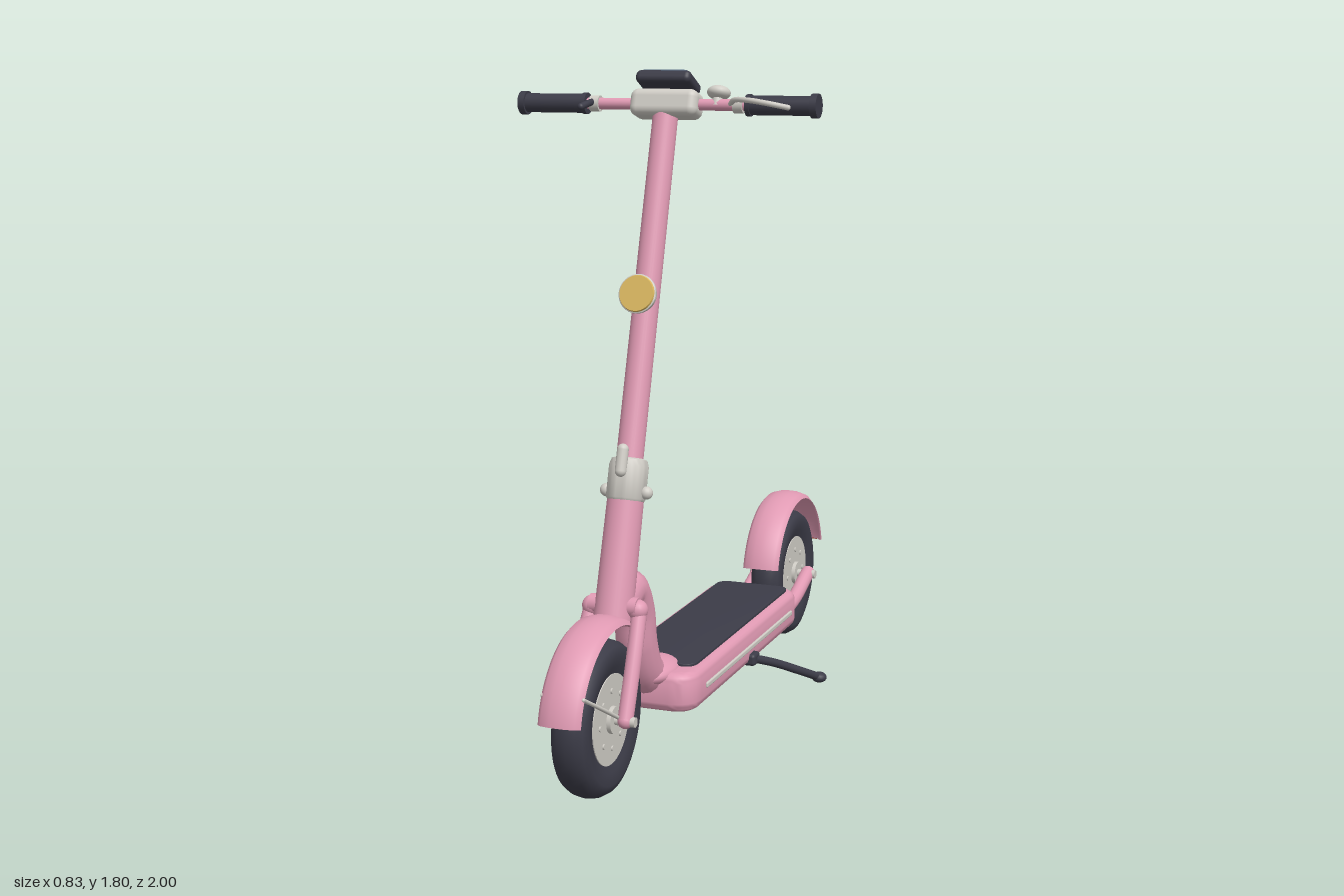
import * as THREE from 'three';
import { toCreasedNormals } from 'three/addons/utils/BufferGeometryUtils.js';
import { RoundedBoxGeometry } from 'three/addons/geometries/RoundedBoxGeometry.js';

const mat = (name, color, side = THREE.FrontSide) => {
  const m = new THREE.MeshStandardMaterial({ color, side });
  m.name = name;
  return m;
};
const V = (x, y, z) => new THREE.Vector3(x, y, z);

export function createModel() {
  const pink = mat('pink paint', 0xe09ab3, THREE.DoubleSide);
  const dark = mat('dark rubber', 0x3c3c48);
  const grey = mat('light grey metal', 0xd0cdc6);
  const gold = mat('gold lens', 0xddba62);
  const red = mat('red lens', 0xe0604c);
  const blue = mat('blue screen', 0x4a627c);

  const root = new THREE.Group();
  root.name = 'kickScooter';

  const add = (parent, name, geo, m, x = 0, y = 0, z = 0) => {
    const mesh = new THREE.Mesh(geo, m);
    mesh.name = name;
    mesh.position.set(x, y, z);
    parent.add(mesh);
    return mesh;
  };
  const group = (parent, name, x = 0, y = 0, z = 0) => {
    const g = new THREE.Group();
    g.name = name;
    g.position.set(x, y, z);
    parent.add(g);
    return g;
  };
  const ball = (parent, name, r, m, x, y, z) =>
    add(parent, name, new THREE.SphereGeometry(r, 20, 14), m, x, y, z);
  // cylinder lying along x
  const barX = (r, len, seg = 28) => new THREE.CylinderGeometry(r, r, len, seg).rotateZ(Math.PI / 2);
  // round-ended tube through points
  const tube = (parent, name, pts, r, m) => {
    const curve = new THREE.CatmullRomCurve3(pts);
    const g = group(parent, name);
    add(g, name + 'Tube', new THREE.TubeGeometry(curve, 32, r, 16), m);
    for (const p of [pts[0], pts[pts.length - 1]]) ball(g, name + 'End', r, m, p.x, p.y, p.z);
    return g;
  };
  // rounded plate in the xz plane, from y = 0 up to height
  const plate = (w, len, corner, height, bevel) => {
    const a = w / 2 - bevel, b = len / 2 - bevel, c = corner, s = new THREE.Shape();
    s.moveTo(-a + c, -b);
    s.lineTo(a - c, -b); s.quadraticCurveTo(a, -b, a, -b + c);
    s.lineTo(a, b - c); s.quadraticCurveTo(a, b, a - c, b);
    s.lineTo(-a + c, b); s.quadraticCurveTo(-a, b, -a, b - c);
    s.lineTo(-a, -b + c); s.quadraticCurveTo(-a, -b, -a + c, -b);
    const g = new THREE.ExtrudeGeometry(s, {
      depth: height - 2 * bevel, bevelSize: bevel, bevelThickness: bevel, bevelSegments: 5, curveSegments: 8,
    });
    return toCreasedNormals(g.translate(0, 0, bevel).rotateX(-Math.PI / 2), 0.7);
  };

  // wheels
  const AXLE = 0.204;
  const tyreProfile = [[0.11, -0.034], [0.135, -0.044], [0.165, -0.05], [0.185, -0.042], [0.196, -0.024], [0.2, 0],
    [0.196, 0.024], [0.185, 0.042], [0.165, 0.05], [0.135, 0.044], [0.11, 0.034]].map(p => new THREE.Vector2(...p));
  const wheel = (name, z) => {
    const g = group(root, name, 0, AXLE, z);
    add(g, 'tyre', new THREE.LatheGeometry(tyreProfile, 56).rotateZ(Math.PI / 2), dark);
    add(g, 'rimDisc', barX(0.116, 0.078, 48), grey);
    add(g, 'hub', barX(0.035, 0.1), grey);
    add(g, 'axle', barX(0.012, 0.19, 16), grey);
    for (let i = 0; i < 8; i++) {
      const a = i * Math.PI / 4;
      add(g, 'rimBolt', barX(0.007, 0.086, 10), grey, 0, 0.075 * Math.sin(a), 0.075 * Math.cos(a));
    }
  };
  wheel('frontWheel', 0.75);
  wheel('rearWheel', -0.735);

  // crowned mudguards, swept around the axle
  const guardProfile = [[0.232, -0.057], [0.245, -0.045], [0.252, -0.02], [0.253, 0], [0.252, 0.02], [0.245, 0.045],
    [0.232, 0.057], [0.228, 0.052], [0.238, 0.04], [0.245, 0], [0.238, -0.04], [0.228, -0.052], [0.232, -0.057]]
    .map(p => new THREE.Vector2(...p));
  const guard = (name, z, from, to) => {
    const d = Math.PI / 180;
    const geo = new THREE.LatheGeometry(guardProfile, 40, from * d, (to - from) * d).rotateZ(Math.PI / 2);
    add(root, name, geo, pink, 0, 0.21, z);
  };
  guard('frontMudguard', 0.75, 11, 124);
  guard('rearMudguard', -0.738, 14, 168);
  const tail = add(root, 'tailLight', new RoundedBoxGeometry(0.08, 0.026, 0.018, 3, 0.007), red, 0, 0.267, -0.987);
  tail.rotation.x = 0.2;

  // deck, mat and side strips
  add(root, 'deck', plate(0.276, 0.93, 0.045, 0.107, 0.026), pink, 0, 0.123, -0.02);
  add(root, 'deckMat', plate(0.222, 0.82, 0.035, 0.01, 0.002), dark, 0, 0.227, -0.045);
  for (const s of [-1, 1]) {
    add(root, 'sideStrip', new RoundedBoxGeometry(0.009, 0.015, 0.73, 2, 0.004), grey, s * 0.139, 0.177, -0.025);
    // rear stays
    tube(root, 'rearStay', [V(s * 0.08, 0.15, -0.44), V(s * 0.08, 0.148, -0.53), V(s * 0.08, 0.16, -0.61),
      V(s * 0.08, 0.198, -0.72), V(s * 0.08, 0.205, -0.742)], 0.022, pink);
    add(root, 'rearAxleCap', barX(0.013, 0.012, 16), grey, s * 0.102, AXLE, -0.735);
    // front fork legs and mudguard stays
    tube(root, 'forkLeg', [V(s * 0.066, 0.455, 0.63), V(s * 0.072, 0.36, 0.678), V(s * 0.076, 0.205, 0.75)], 0.02, pink);
    ball(root, 'forkShoulder', 0.027, pink, s * 0.062, 0.458, 0.632);
    add(root, 'frontAxleCap', barX(0.013, 0.012, 16), grey, s * 0.098, AXLE, 0.75);
    tube(root, 'mudguardStay', [V(s * 0.06, 0.21, 0.75), V(s * 0.058, 0.265, 0.85), V(s * 0.054, 0.322, 0.955)], 0.005, grey);
  }

  // curved neck from the steering head down to the deck
  tube(root, 'neck', [V(0, 0.47, 0.61), V(0, 0.485, 0.55), V(0, 0.42, 0.507), V(0, 0.32, 0.487), V(0, 0.235, 0.44),
    V(0, 0.187, 0.36)], 0.054, pink);
  add(root, 'neckFoot', new THREE.SphereGeometry(1, 24, 16).scale(0.075, 0.035, 0.1), pink, 0, 0.222, 0.39);

  // kickstand on the left
  const stand = group(root, 'kickstand');
  add(stand, 'standPivot', new RoundedBoxGeometry(0.04, 0.035, 0.05, 2, 0.01), dark, 0.135, 0.14, -0.035);
  tube(stand, 'standLeg', [V(0.14, 0.142, -0.03), V(0.185, 0.112, -0.1), V(0.235, 0.07, -0.18), V(0.27, 0.034, -0.25)], 0.012, dark);
  add(stand, 'standFoot', new THREE.SphereGeometry(0.022, 18, 12).scale(1, 0.7, 1), dark, 0.272, 0.032, -0.253);

  // steering column, tilted back
  const col = group(root, 'steeringColumn', 0, 0.465, 0.635);
  col.rotation.x = -0.289;
  add(col, 'forkCrown', barX(0.025, 0.13), pink);
  add(col, 'lowerTube', new THREE.CylinderGeometry(0.047, 0.05, 0.31, 32), pink, 0, 0.12, 0);
  add(col, 'upperTube', new THREE.CylinderGeometry(0.033, 0.035, 0.95, 32), pink, 0, 0.815, 0);
  const collarProfile = [[0, 0.265], [0.046, 0.265], [0.051, 0.272], [0.051, 0.355], [0.046, 0.372], [0.034, 0.376]]
    .map(p => new THREE.Vector2(...p));
  add(col, 'foldingCollar', toCreasedNormals(new THREE.LatheGeometry(collarProfile, 36), 0.7), grey);
  add(col, 'foldingPin', barX(0.014, 0.12, 18), grey, 0, 0.29, 0);
  for (const s of [-1, 1]) ball(col, 'pinKnob', 0.017, grey, s * 0.055, 0.29, 0);
  add(col, 'foldingLatch', new THREE.CapsuleGeometry(0.015, 0.055, 6, 16), grey, 0, 0.365, 0.052);

  // headlight
  const lampProfile = [[0.02, 0.02], [0.034, 0.026], [0.046, 0.045], [0.051, 0.06], [0.051, 0.066], [0.046, 0.069], [0, 0.069]]
    .map(p => new THREE.Vector2(...p));
  add(col, 'lampShell', toCreasedNormals(new THREE.LatheGeometry(lampProfile, 32).rotateX(Math.PI / 2), 0.7), grey, 0, 0.79, 0);
  add(col, 'lampLens', new THREE.CylinderGeometry(0.046, 0.049, 0.008, 32).rotateX(Math.PI / 2), gold, 0, 0.79, 0.069);

  // handlebar with grips and controls
  const bar = group(col, 'handlebar', 0, 1.3, 0);
  add(bar, 'crossBar', barX(0.015, 0.8), pink);
  add(bar, 'stemClamp', new RoundedBoxGeometry(0.186, 0.072, 0.078, 4, 0.022), grey);
  for (const s of [-1, 1]) {
    add(bar, 'grip', barX(0.025, 0.18), dark, s * 0.316, 0, 0);
    add(bar, 'gripInnerFlange', barX(0.028, 0.012), dark, s * 0.228, 0, 0);
    add(bar, 'gripEnd', barX(0.031, 0.018), dark, s * 0.405, 0, 0);
    add(bar, 'controlClamp', barX(0.021, 0.026), grey, s * 0.2, 0, 0);
  }
  tube(bar, 'brakeLever', [V(0.18, 0, 0.01), V(0.2, 0.003, 0.04), V(0.25, -0.006, 0.072), V(0.3, -0.015, 0.08),
    V(0.355, -0.023, 0.07)], 0.007, grey);
  tube(bar, 'throttle', [V(-0.205, 0, 0.015), V(-0.208, -0.012, 0.04), V(-0.214, -0.025, 0.062)], 0.009, dark);
  add(bar, 'bellBase', new THREE.CylinderGeometry(0.012, 0.016, 0.03, 16), grey, 0.14, 0.012, 0);
  add(bar, 'bell', new THREE.SphereGeometry(0.031, 24, 14).scale(1, 0.6, 1), grey, 0.14, 0.033, -0.003);

  // display, facing the rider
  const display = group(bar, 'display', 0, 0.056, 0.004);
  display.rotation.x = -0.17;
  add(display, 'displayCase', new RoundedBoxGeometry(0.152, 0.034, 0.1, 4, 0.014), dark);
  add(display, 'screen', plate(0.128, 0.078, 0.012, 0.004, 0.001), blue, 0, 0.0155, 0);
  add(display, 'screenBar', new THREE.BoxGeometry(0.07, 0.002, 0.008), grey, 0, 0.0195, -0.012);
  for (let i = 0; i < 4; i++)
    add(display, 'screenMark', new THREE.BoxGeometry(0.011, 0.002, 0.007), i === 2 ? gold : grey, -0.03 + i * 0.02, 0.0195, 0.014);

  return root;
}
